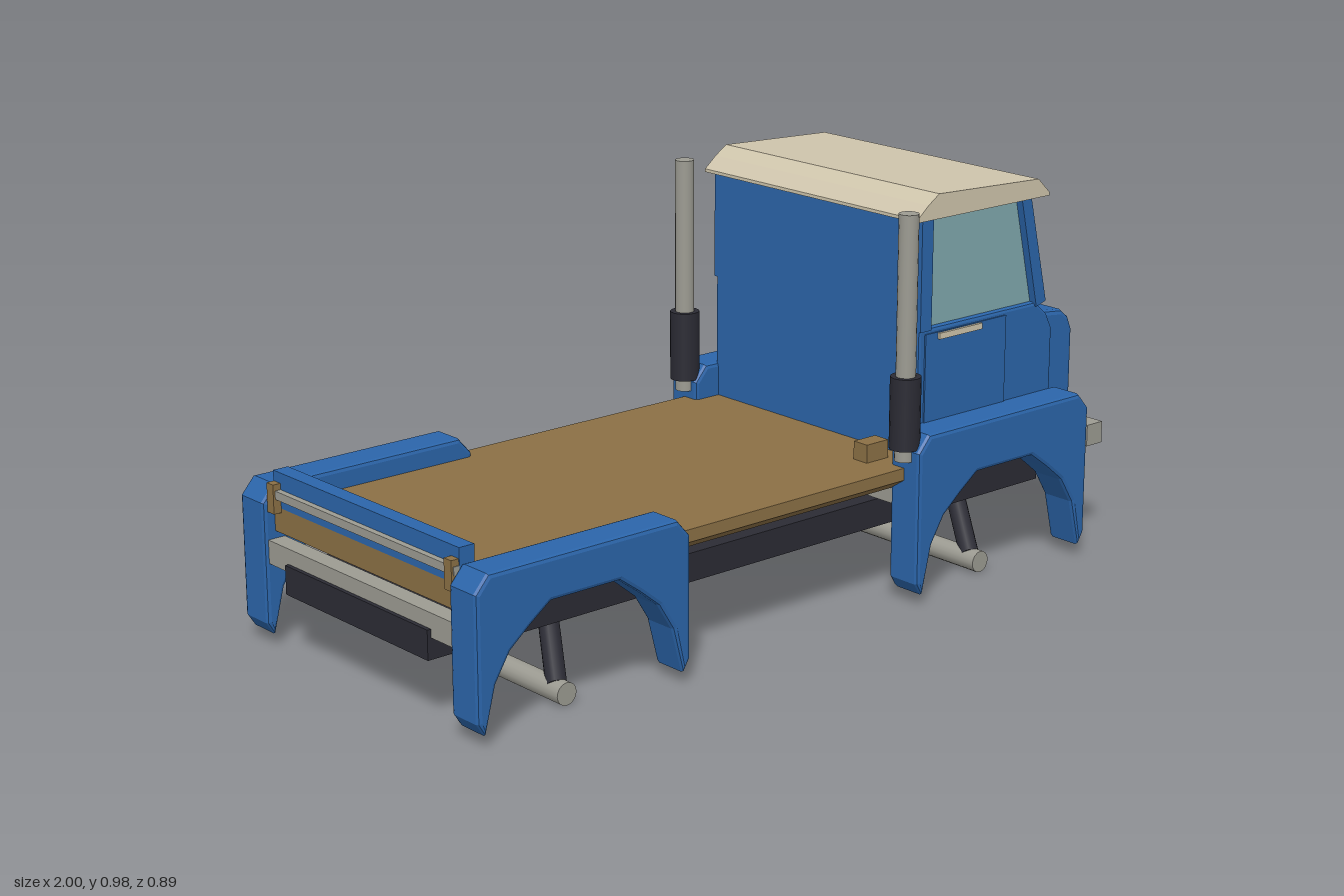
import * as THREE from 'three';

const mat = (name, color, side = THREE.FrontSide) => {
  const m = new THREE.MeshStandardMaterial({ color, side });
  m.name = name;
  return m;
};

export function createModel() {
  const truck = new THREE.Group();
  truck.name = 'flatbedTruck';
  const blue = mat('blue paint', 0x2b65aa);
  const wood = mat('wood', 0x8b7045);
  const cream = mat('cream', 0xcfc5ac);
  const steel = mat('steel', 0x9c9b92);
  const dark = mat('dark metal', 0x2b2b34);
  const glass = mat('glass', 0x80a8ad);

  const add = (name, geometry, material) => {
    const mesh = new THREE.Mesh(geometry, material);
    mesh.name = name;
    truck.add(mesh);
    return mesh;
  };

  // Box given by its limits on each axis
  const box = (name, material, x0, x1, y0, y1, z0, z1) => {
    const g = new THREE.BoxGeometry(x1 - x0, y1 - y0, z1 - z0);
    g.translate((x0 + x1) / 2, (y0 + y1) / 2, (z0 + z1) / 2);
    return add(name, g, material);
  };

  // Side profile (x, y) extruded across z, with an optional bevel inside the limits
  const prism = (name, material, points, z0, z1, bevel = 0) => {
    const shape = new THREE.Shape(points.map(([x, y]) => new THREE.Vector2(x, y)));
    const g = new THREE.ExtrudeGeometry(shape, {
      depth: z1 - z0 - 2 * bevel,
      bevelEnabled: bevel > 0,
      bevelThickness: bevel,
      bevelSize: bevel,
      bevelOffset: -bevel,
      bevelSegments: 2,
    });
    g.translate(0, 0, z0 + bevel);
    return add(name, g, material);
  };

  // Cylinder between two points
  const rod = (name, material, a, b, radius, sides = 16) => {
    const from = new THREE.Vector3(...a), to = new THREE.Vector3(...b);
    const dir = to.clone().sub(from);
    const mesh = add(name, new THREE.CylinderGeometry(radius, radius, dir.length(), sides), material);
    mesh.position.copy(from).add(to).multiplyScalar(0.5);
    mesh.quaternion.setFromUnitVectors(new THREE.Vector3(0, 1, 0), dir.normalize());
    return mesh;
  };

  // Chassis, deck and bumpers
  box('chassis', dark, -1, 0.9, 0.155, 0.225, -0.27, 0.27);
  const deck = new THREE.Shape([
    [-0.35, 0.28], [0.35, 0.28], [0.395, 0.31], [0.395, 0.34], [-0.395, 0.34], [-0.395, 0.31],
  ].map(([z, y]) => new THREE.Vector2(z, y)));
  const deckGeometry = new THREE.ExtrudeGeometry(deck, { depth: 1.36, bevelEnabled: false });
  deckGeometry.rotateY(Math.PI / 2).translate(-0.97, 0, 0);
  add('deck', deckGeometry, wood);
  box('deckBlock', wood, 0.26, 0.33, 0.34, 0.385, 0.265, 0.31);
  box('frontBumper', steel, 0.945, 1, 0.26, 0.315, -0.395, 0.395);
  box('rearBumper', steel, -0.99, -0.945, 0.205, 0.262, -0.35, 0.35);

  // Tailgate with its rail
  box('tailgate', blue, -0.97, -0.93, 0.34, 0.425, -0.35, 0.35);
  box('tailgateRail', steel, -0.985, -0.968, 0.365, 0.385, -0.35, 0.35);
  for (const s of [-1, 1]) box('tailgatePost', wood, -0.99, -0.97, 0.33, 0.4, s * 0.335 - 0.013, s * 0.335 + 0.013);

  // Fender outline, measured from its rear end; the top height differs front and rear
  const fender = (x, top, rise, s) => prism('fender', blue, [
    [0, 0.06], [0.02, 0.03], [0.05, 0.14], [0.09, 0.205], [0.145, 0.25], [0.2, 0.29],
    [0.39, 0.29], [0.445, 0.25], [0.5, 0.205], [0.54, 0.14], [0.57, 0.03], [0.59, 0.06],
    [0.59, top - 0.04], [0.555, top], [0.035, top], [0, top - 0.04],
  ].map(([px, py]) => [px + x, py > 0.1 && py < 0.3 ? py + rise : py]),
  s > 0 ? 0.35 : -0.445, s > 0 ? 0.445 : -0.35, 0.01);

  for (const s of [-1, 1]) {
    fender(-1, 0.39, 0, s);
    fender(0.3, 0.425, 0.01, s);
    box('sideStep', steel, 0.31, 0.545, 0.238, 0.28, s * 0.31 - 0.045, s * 0.31 + 0.045);
    // Exhaust stacks
    rod('exhaustPipe', steel, [0.3, 0.36, s * 0.394], [0.3, 0.955, s * 0.394], 0.024);
    rod('exhaustMuffler', dark, [0.3, 0.39, s * 0.394], [0.3, 0.566, s * 0.394], 0.037);
  }

  // Axles hung on slanted struts
  for (const x of [-0.7, 0.6]) {
    rod('axle', steel, [x, 0.028, -0.366], [x, 0.028, 0.366], 0.027);
    for (const s of [-1, 1]) rod('strut', dark, [x, 0.035, s * 0.33], [x + 0.11, 0.17, s * 0.155], 0.024);
  }

  // Cab body and hood
  prism('cabBody', blue, [
    [0.375, 0.335], [0.84, 0.335], [0.84, 0.58], [0.82, 0.62], [0.78, 0.655], [0.375, 0.655],
  ], -0.36, 0.36, 0.008);
  prism('hood', blue, [
    [0.8, 0.335], [0.955, 0.335], [0.955, 0.55], [0.94, 0.585], [0.915, 0.605], [0.8, 0.618],
  ], -0.325, 0.325, 0.012);

  // Glass block, back wall and pillars
  prism('cabGlass', glass, [[0.4, 0.65], [0.785, 0.65], [0.727, 0.925], [0.4, 0.925]], -0.345, 0.345);
  box('backWall', blue, 0.375, 0.402, 0.65, 0.925, -0.36, 0.36);
  for (const s of [-1, 1]) {
    const z0 = s > 0 ? 0.322 : -0.365, z1 = s > 0 ? 0.365 : -0.322;
    prism('windshieldPillar', blue, [[0.775, 0.645], [0.808, 0.655], [0.745, 0.925], [0.712, 0.925]], z0, z1);
    box('rearPillar', blue, 0.375, 0.412, 0.65, 0.925, z0, z1);
    // Door plate and handle
    box('door', blue, 0.395, 0.67, 0.42, 0.642, s * 0.36 - 0.004, s * 0.36 + 0.004);
    box('doorHandle', cream, 0.435, 0.58, 0.625, 0.64, s * 0.365 - 0.006, s * 0.365 + 0.006);
  }

  // Roof
  prism('roof', cream, [
    [0.35, 0.92], [0.8, 0.92], [0.8, 0.928], [0.76, 0.966], [0.42, 0.98], [0.385, 0.957], [0.35, 0.928],
  ], -0.373, 0.373);

  // Grille and eight-sided headlights
  box('grille', dark, 0.95, 0.965, 0.418, 0.587, -0.185, 0.185);
  for (const s of [-1, 1]) {
    rod('headlight', cream, [0.95, 0.478, s * 0.25], [0.978, 0.478, s * 0.25], 0.047, 8);
    rod('headlightLens', cream, [0.97, 0.478, s * 0.25], [0.99, 0.478, s * 0.25], 0.032, 8);
  }
  return truck;
}
